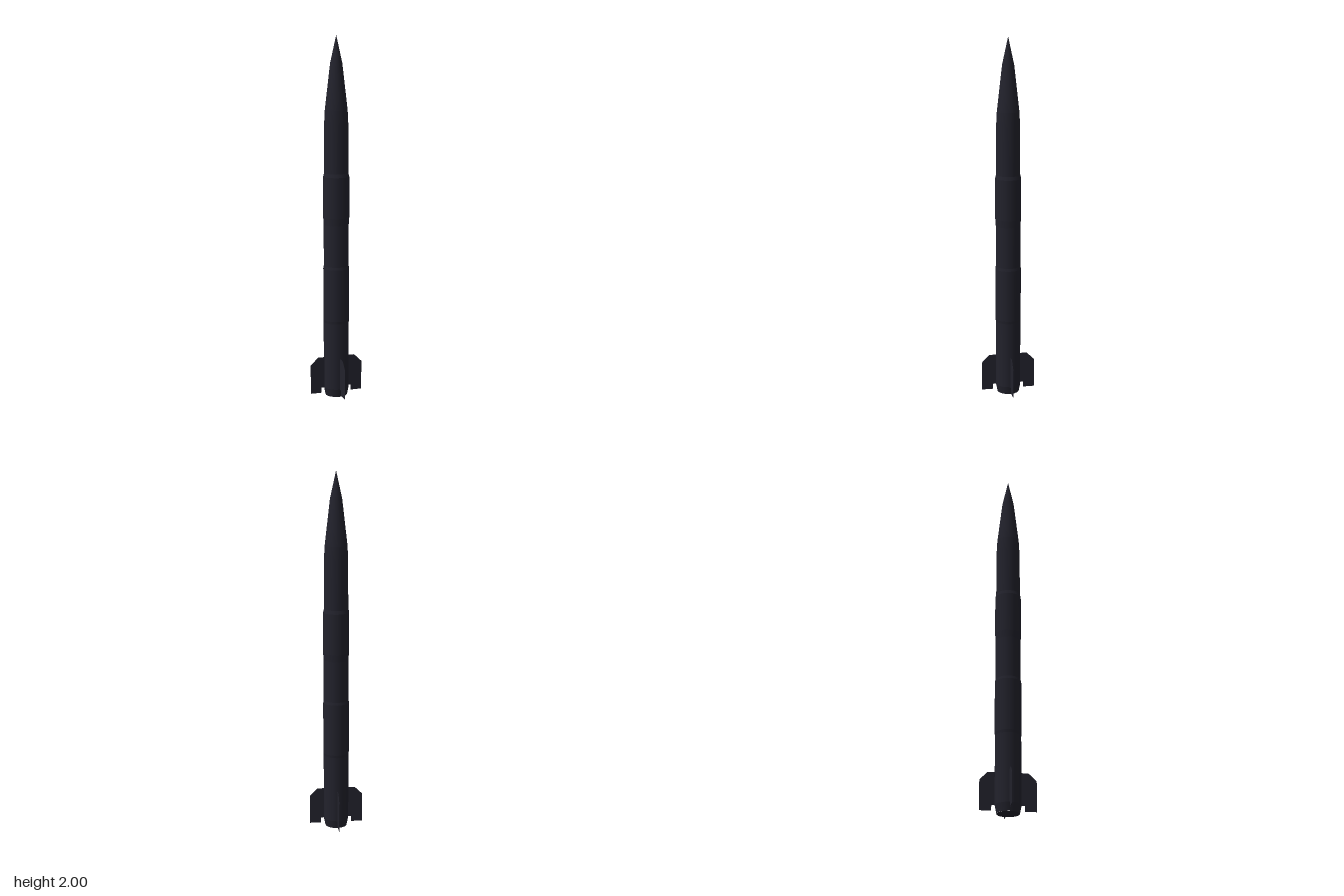
import * as THREE from 'three';

const darkNavy = new THREE.MeshStandardMaterial({ color: 0x22222c });
darkNavy.name = 'darkNavy';

// One 16-sided turned section; separate sections keep the steps between them crisp
function turned(name, profile) {
  const points = profile.map(([r, y]) => new THREE.Vector2(r, y));
  const mesh = new THREE.Mesh(new THREE.LatheGeometry(points, 16), darkNavy);
  mesh.name = name;
  return mesh;
}

export function createModel() {
  const rocket = new THREE.Group();
  rocket.name = 'rocket';

  // Hull sections from the tail up, as [radius, height]
  const sections = {
    tailCap: [[0, 0.004], [0.061, 0.004]],
    tailCone: [[0.061, 0.004], [0.07, 0.045]],
    tailSection: [[0.07, 0.045], [0.07, 0.42]],
    lowerCollar: [[0.07, 0.42], [0.072, 0.435]],
    lowerStage: [[0.072, 0.435], [0.072, 0.725]],
    lowerShoulder: [[0.072, 0.725], [0.069, 0.74]],
    middleStage: [[0.069, 0.74], [0.069, 0.97]],
    middleCollar: [[0.069, 0.97], [0.072, 1.01]],
    upperStage: [[0.072, 1.01], [0.072, 1.235]],
    upperShoulder: [[0.072, 1.235], [0.067, 1.255]],
    payloadSection: [[0.067, 1.255], [0.066, 1.52], [0.062, 1.6]],
    noseCone: [[0.062, 1.6], [0.033, 1.85], [0, 2]],
  };
  for (const [name, profile] of Object.entries(sections)) rocket.add(turned(name, profile));

  // Four thin tail fins with a clipped top corner and a notch at the root
  const outline = [[0.06, 0.045], [0.087, 0.045], [0.087, 0.015], [0.15, 0.015],
    [0.15, 0.178], [0.107, 0.22], [0.06, 0.22]];
  const thickness = 0.002;
  const finGeometry = new THREE.ExtrudeGeometry(
    new THREE.Shape(outline.map(([x, y]) => new THREE.Vector2(x, y))),
    { depth: thickness, bevelEnabled: false });
  finGeometry.translate(0, 0, -thickness / 2);
  for (let i = 0; i < 4; i++) {
    const fin = new THREE.Mesh(finGeometry, darkNavy);
    fin.name = 'tailFin' + (i + 1);
    fin.rotation.y = i * Math.PI / 2;
    rocket.add(fin);
  }
  // Stand the tail on the ground
  rocket.children.slice(0, 2).forEach((part) => { part.position.y = -0.004; });
  rocket.getObjectByName('tailCone').scale.y = 0.049 / 0.045;
  return rocket;
}
